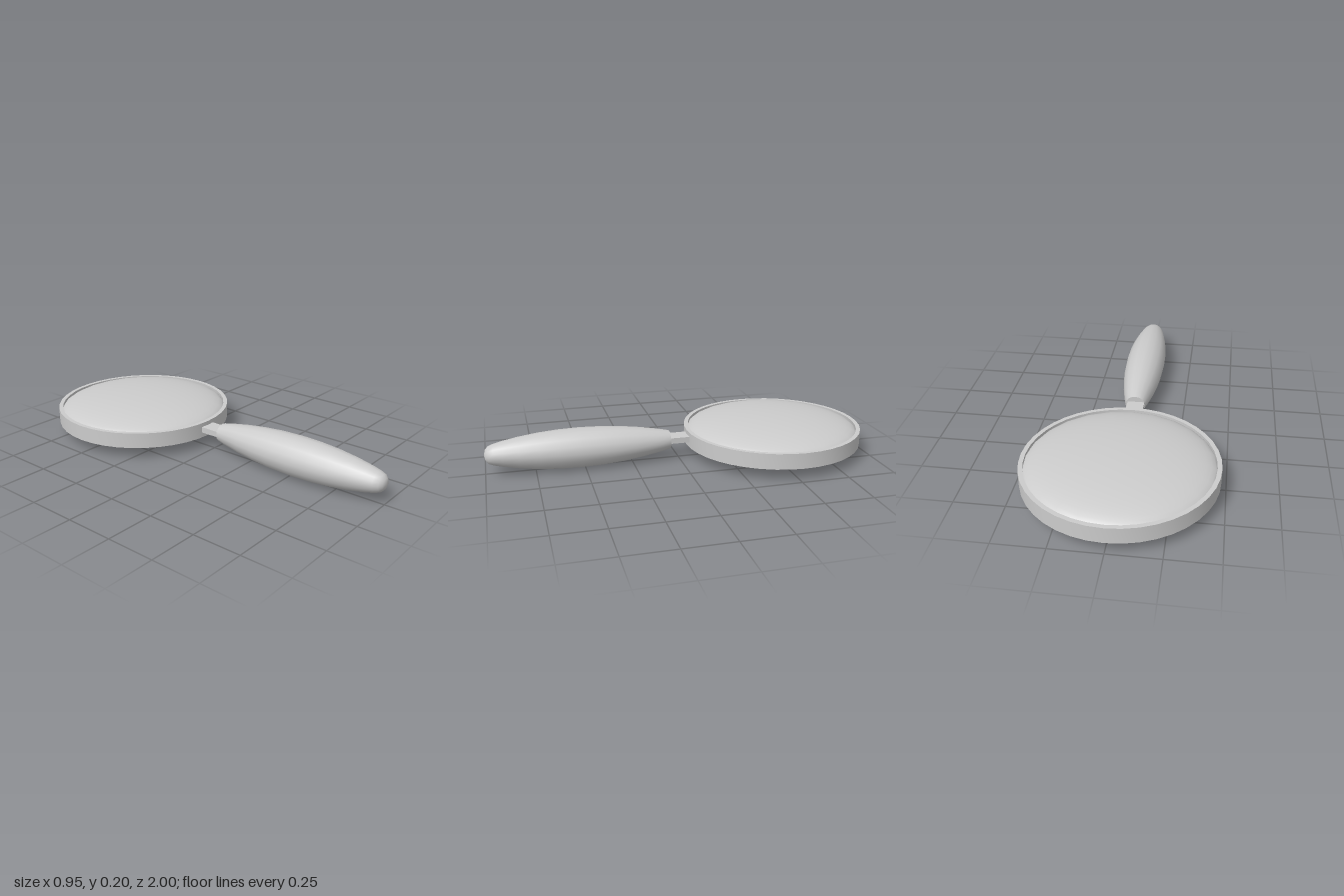
import * as THREE from 'three';
import { toCreasedNormals } from 'three/addons/utils/BufferGeometryUtils.js';

const material = new THREE.MeshStandardMaterial({ color: 0xcccccc });
const shellMaterial = new THREE.MeshStandardMaterial({ color: 0xcccccc, side: THREE.DoubleSide });
const LENS_Z = -0.524;

// Turned part from [radius, height] pairs, with sharp edges kept
function turned(name, pairs, sides, mat = material) {
  const points = pairs.map(([r, h]) => new THREE.Vector2(r, h));
  const geometry = toCreasedNormals(new THREE.LatheGeometry(points, sides), 0.8);
  const mesh = new THREE.Mesh(geometry, mat);
  mesh.name = name;
  return mesh;
}

export function createModel() {
  const group = new THREE.Group();
  group.name = 'magnifyingGlass';

  // Ring holding the lens
  const rim = turned('rim', [
    [0.476, 0.062], [0.476, 0.143], [0.454, 0.143], [0.454, 0.062], [0.476, 0.062],
  ], 40);
  rim.position.z = LENS_Z;
  group.add(rim);

  // Thin lens shell: a flattened dome, hollow below, its edge set into the rim
  const dome = [];
  for (let i = 0; i <= 12; i++) {
    const a = (i / 12) * Math.PI / 2;
    dome.push([0.464 * Math.cos(a), 0.112 + 0.088 * Math.sin(a)]);
  }
  const lens = turned('lens', dome, 24, shellMaterial);
  lens.position.z = LENS_Z;
  group.add(lens);

  // Flat tang joining rim and handle
  const tang = new THREE.Mesh(new THREE.BoxGeometry(0.09, 0.03, 0.13), material);
  tang.name = 'tang';
  tang.position.set(0, 0.106, 0);
  group.add(tang);

  // Swelling grip with a rounded end
  const handle = turned('handle', [
    [0, 0.05], [0.053, 0.05], [0.065, 0.1], [0.084, 0.2], [0.098, 0.3], [0.107, 0.4],
    [0.111, 0.52], [0.108, 0.63], [0.1, 0.73], [0.086, 0.83], [0.07, 0.91],
    [0.058, 0.955], [0.047, 0.98], [0.03, 0.994], [0, 1],
  ], 16);
  handle.geometry.rotateX(Math.PI / 2);
  handle.scale.y = 0.92;
  handle.position.set(0.004, 0.103, 0);
  group.add(handle);

  return group;
}
